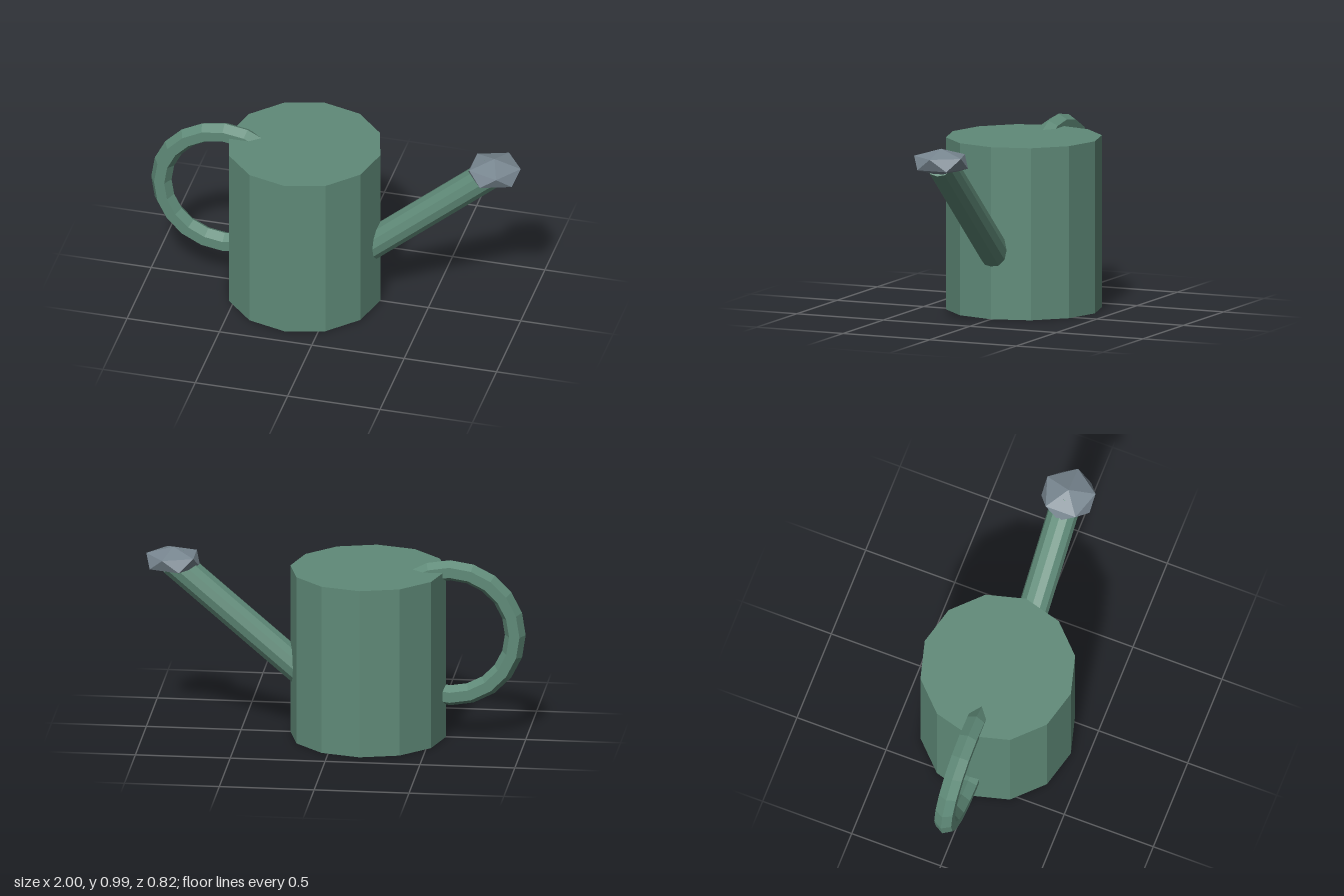
import * as THREE from 'three';

export function createModel() {
  const group = new THREE.Group();
  group.name = 'wateringCan';

  const green = new THREE.MeshStandardMaterial({ color: 0x5f8a78, flatShading: true });
  green.name = 'greenPaint';
  const grey = new THREE.MeshStandardMaterial({ color: 0x788690, flatShading: true });
  grey.name = 'greyMetal';

  const add = (name, geometry, material, x, y) => {
    const mesh = new THREE.Mesh(geometry, material);
    mesh.name = name;
    mesh.position.set(x, y, 0);
    group.add(mesh);
    return mesh;
  };

  // Twelve-sided can with closed top and bottom
  add('body', new THREE.CylinderGeometry(0.41, 0.41, 0.912, 12), green, -0.17, 0.456);

  // Hexagonal loop handle, both ends buried in the can
  const step = Math.PI / 10;
  const handle = new THREE.TorusGeometry(0.343, 0.055, 6, 14, 14 * step);
  handle.rotateZ(2 * step);
  add('handle', handle, green, -0.602, 0.572);

  // Straight slanted spout
  const from = new THREE.Vector3(0.1, 0.267, 0);
  const to = new THREE.Vector3(0.856, 0.914, 0);
  const dir = to.clone().sub(from);
  const spout = add('spout', new THREE.CylinderGeometry(0.081, 0.081, dir.length(), 12), green, 0, 0);
  spout.position.copy(from).lerp(to, 0.5);
  spout.rotation.z = Math.atan2(-dir.x, dir.y);

  // Flattened icosahedron rose, standing on a vertex
  const rose = new THREE.IcosahedronGeometry(0.159, 0);
  rose.rotateX(-Math.atan((1 + Math.sqrt(5)) / 2));
  rose.rotateY(Math.PI / 2);
  rose.scale(1, 0.45, 1);
  add('sprinklerRose', rose, grey, 0.858, 0.921);

  return group;
}
